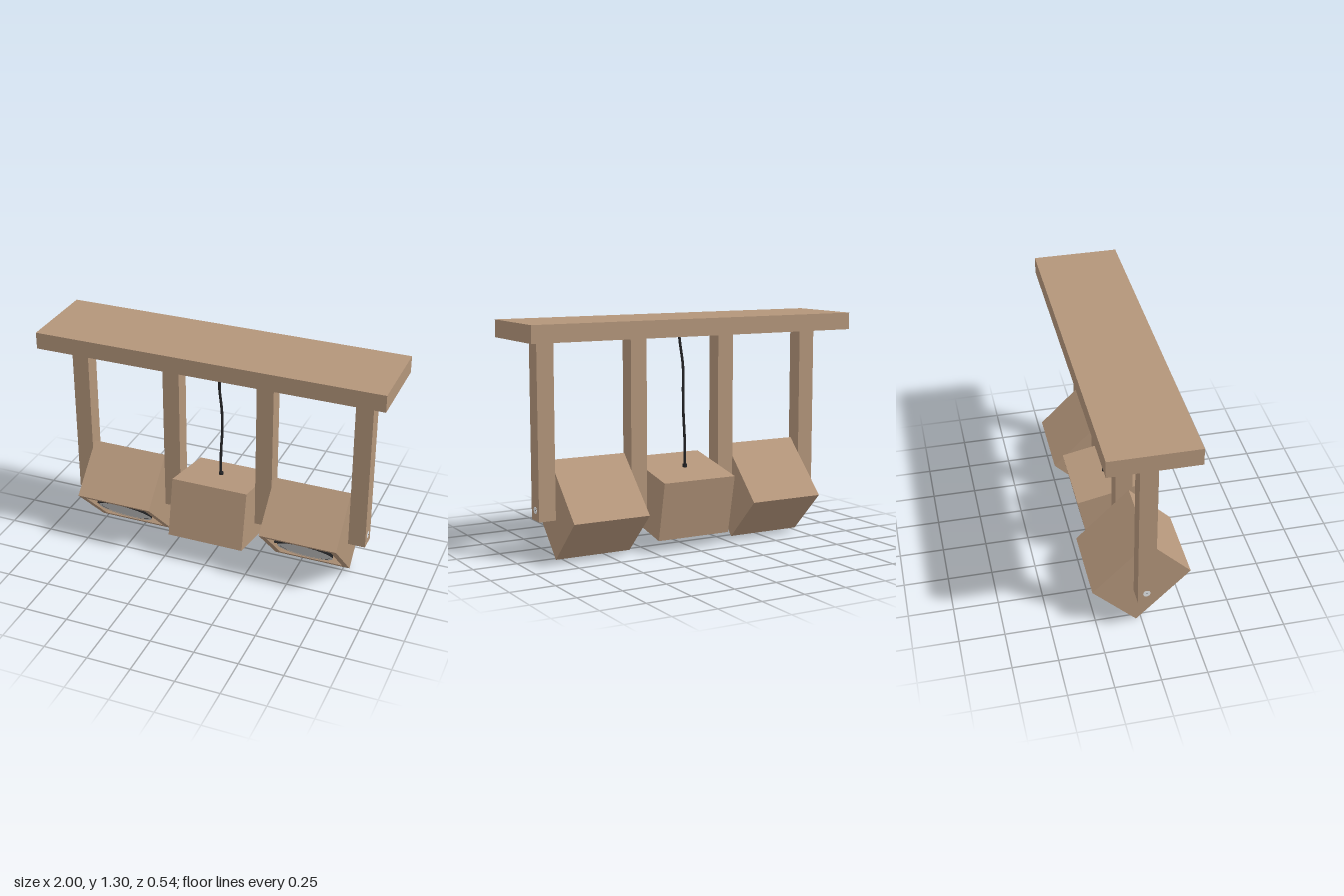
import * as THREE from 'three';

const mat = (name, color, side = THREE.FrontSide) => {
  const m = new THREE.MeshStandardMaterial({ color, side });
  m.name = name;
  return m;
};

export function createModel() {
  const wood = mat('wood', 0xb3957a);
  const black = mat('black', 0x242426, THREE.DoubleSide);
  const glass = mat('lens grey', 0xc8c8c8);
  const steel = mat('steel', 0xe2e4e6);

  const model = new THREE.Group();
  model.name = 'spotlightBar';

  const add = (parent, name, geometry, material, x = 0, y = 0, z = 0) => {
    const mesh = new THREE.Mesh(geometry, material);
    mesh.name = name;
    mesh.position.set(x, y, z);
    parent.add(mesh);
    return mesh;
  };

  // Ceiling plank
  add(model, 'ceilingPlank', new THREE.BoxGeometry(2, 0.096, 0.488), wood, 0, 1.248, 0.002);

  // Hanging posts
  for (const x of [-0.8385, -0.2795, 0.2795, 0.8385]) {
    add(model, 'post', new THREE.BoxGeometry(0.098, 0.977, 0.097), wood, x, 0.7115, 0.003);
  }

  // Flush screws on the outer posts, and thin pivots bridging posts and boxes
  const pivotY = 0.28;
  for (const s of [-1, 1]) {
    add(model, 'screwHead', new THREE.CylinderGeometry(0.02, 0.02, 0.004, 20), steel, s * 0.8865, pivotY, 0.003).rotation.z = Math.PI / 2;
    add(model, 'screwSocket', new THREE.CylinderGeometry(0.004, 0.004, 0.001, 3), black, s * 0.8887, pivotY, 0.003).rotation.z = Math.PI / 2;
    for (const x of [0.2275, 0.332, 0.7875]) {
      add(model, 'pivot', new THREE.CylinderGeometry(0.006, 0.006, 0.01, 12), steel, s * x, pivotY, 0.003).rotation.z = Math.PI / 2;
    }
  }

  // Open-fronted wooden box with a round lamp; local +z is the lit face
  const W = 0.45, H = 0.424, D = 0.343, wall = 0.037;
  const lampBox = (name, x, y, z, tilt) => {
    const box = new THREE.Group();
    box.name = name;
    box.position.set(x, y, z);
    box.rotation.x = tilt;
    model.add(box);

    // Walls as one hollow frame, closed by a back panel
    const rect = (p, w, h) => p.moveTo(-w, -h).lineTo(w, -h).lineTo(w, h).lineTo(-w, h).closePath();
    const frame = rect(new THREE.Shape(), W / 2, H / 2);
    frame.holes.push(rect(new THREE.Path(), W / 2 - wall, H / 2 - wall));
    add(box, 'boxWalls', new THREE.ExtrudeGeometry(frame, { depth: D, bevelEnabled: false }), wood, 0, 0, -D / 2);
    add(box, 'boxBack', new THREE.BoxGeometry(W - 2 * wall, H - 2 * wall, wall), wood, 0, 0, -D / 2 + wall / 2);

    // Lamp housing tapering towards the back
    const front = D / 2 - 0.008;
    const profile = [[0, -0.2], [0.07, -0.2], [0.085, -0.17], [0.125, -0.09], [0.155, -0.025], [0.161, 0], [0.146, 0.002]];
    const housing = new THREE.LatheGeometry(profile.map(([r, h]) => new THREE.Vector2(r, h)), 40);
    add(box, 'lampHousing', housing, black, 0, 0, front).rotation.x = Math.PI / 2;
    add(box, 'lampBezel', new THREE.RingGeometry(0.144, 0.161, 48), glass, 0, 0, front + 0.005);
    add(box, 'lampLens', new THREE.CircleGeometry(0.144, 48), glass, 0, 0, front + 0.003);
    for (const s of [-1, 1]) {
      add(box, 'lampBracket', new THREE.BoxGeometry(0.04, 0.012, 0.012), black, s * 0.17, 0, front - 0.015);
    }
  };
  lampBox('rightLampBox', -0.56, 0.272, 0, Math.PI / 4);
  lampBox('middleLampBox', 0, 0.278, 0.003, THREE.MathUtils.degToRad(78.3));
  lampBox('leftLampBox', 0.56, 0.272, 0, Math.PI / 4);

  // Slack power cable down to the middle box
  const path = new THREE.CatmullRomCurve3([
    [0, 1.2, 0], [-0.005, 1.14, -0.004], [-0.015, 1.02, -0.018], [-0.007, 0.87, -0.034],
    [-0.006, 0.75, -0.04], [-0.014, 0.6, -0.04], [-0.016, 0.43, -0.04],
  ].map(p => new THREE.Vector3(...p)));
  add(model, 'cable', new THREE.TubeGeometry(path, 48, 0.0075, 10), black);
  add(model, 'cableGlandTop', new THREE.CylinderGeometry(0.011, 0.011, 0.016, 16), black, 0, 1.193, 0);
  add(model, 'cableGlandBottom', new THREE.CylinderGeometry(0.013, 0.013, 0.03, 16), black, -0.014, 0.446, -0.04);

  return model;
}
